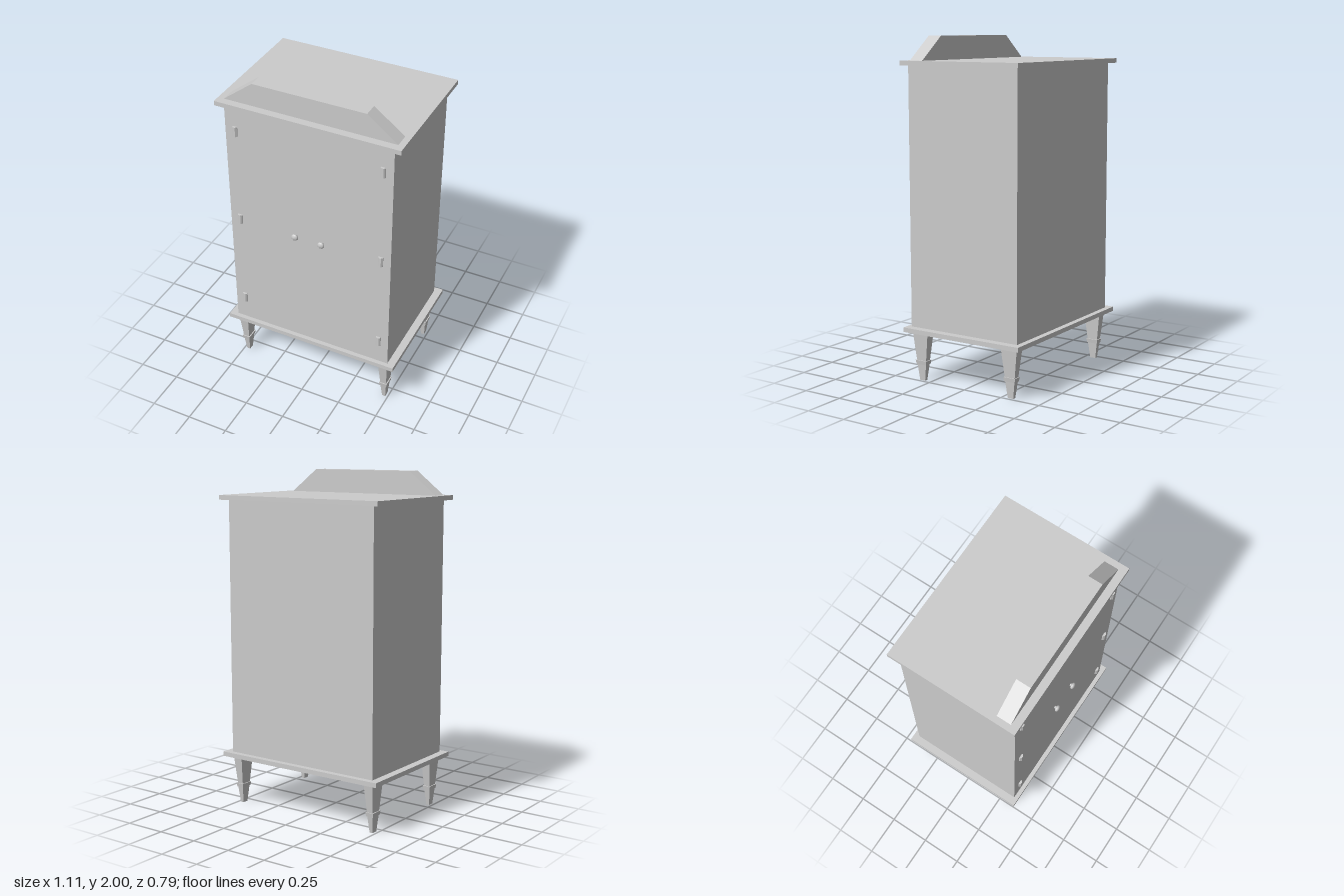
import * as THREE from 'three';

const grey = new THREE.MeshStandardMaterial({ color: 0xcccccc, flatShading: true });
const smooth = new THREE.MeshStandardMaterial({ color: 0xcccccc });

function add(parent, name, geometry, x, y, z, material = grey) {
  const mesh = new THREE.Mesh(geometry, material);
  mesh.name = name;
  mesh.position.set(x, y, z);
  parent.add(mesh);
  return mesh;
}

// Box between two heights whose top and bottom differ in size
function taperedBox(y0, y1, [w0, d0], [w1, d1]) {
  const g = new THREE.BoxGeometry(1, y1 - y0, 1);
  g.translate(0, (y0 + y1) / 2, 0);
  const p = g.attributes.position;
  for (let i = 0; i < p.count; i++) {
    const top = p.getY(i) > (y0 + y1) / 2;
    p.setX(i, p.getX(i) * (top ? w1 : w0));
    p.setZ(i, p.getZ(i) * (top ? d1 : d0));
  }
  g.computeVertexNormals();
  return g;
}

export function createModel() {
  const model = new THREE.Group();
  model.name = 'cabinet';

  // Carcass with overhanging boards
  add(model, 'body', new THREE.BoxGeometry(1.014, 1.516, 0.73), 0, 1.08, 0.002);
  const board = new THREE.BoxGeometry(1.106, 0.027, 0.79);
  add(model, 'baseBoard', board, 0, 0.309, -0.002);
  add(model, 'topBoard', board, 0, 1.849, -0.002);

  // Crest along the front of the top
  add(model, 'crest', taperedBox(1.862, 2, [1.034, 0.087], [0.676, 0.087]), 0, 0, 0.304);

  // Tapered legs with a collar
  const upper = taperedBox(0.122, 0.297, [0.038, 0.066], [0.06, 0.108]);
  const collar = taperedBox(0.098, 0.122, [0.044, 0.07], [0.05, 0.077]);
  const foot = taperedBox(0, 0.098, [0.021, 0.036], [0.036, 0.062]);
  for (const x of [-0.474, 0.474]) {
    for (const z of [-0.305, 0.309]) {
      const leg = new THREE.Group();
      leg.name = 'leg';
      leg.position.set(x, 0, z);
      add(leg, 'legUpper', upper, 0, 0, 0);
      add(leg, 'legCollar', collar, 0, 0, 0);
      add(leg, 'legFoot', foot, 0, 0, 0);
      model.add(leg);
    }
  }

  // Hinges and round knobs on the front
  const hinge = new THREE.CylinderGeometry(0.016, 0.016, 0.062, 8);
  hinge.rotateY(Math.PI / 8);
  const profile = [[0.009, 0], [0.009, 0.008], [0.017, 0.011], [0.021, 0.017],
    [0.019, 0.024], [0.012, 0.029], [0, 0.031]].map(([r, y]) => new THREE.Vector2(r, y));
  const knob = new THREE.LatheGeometry(profile, 20);
  knob.rotateX(Math.PI / 2);
  for (const side of [-1, 1]) {
    for (const y of [0.482, 1.082, 1.684]) add(model, 'hinge', hinge, side * 0.446, y, 0.366);
    add(model, 'knob', knob, side * 0.083, 1.08, 0.366, smooth);
  }
  return model;
}
